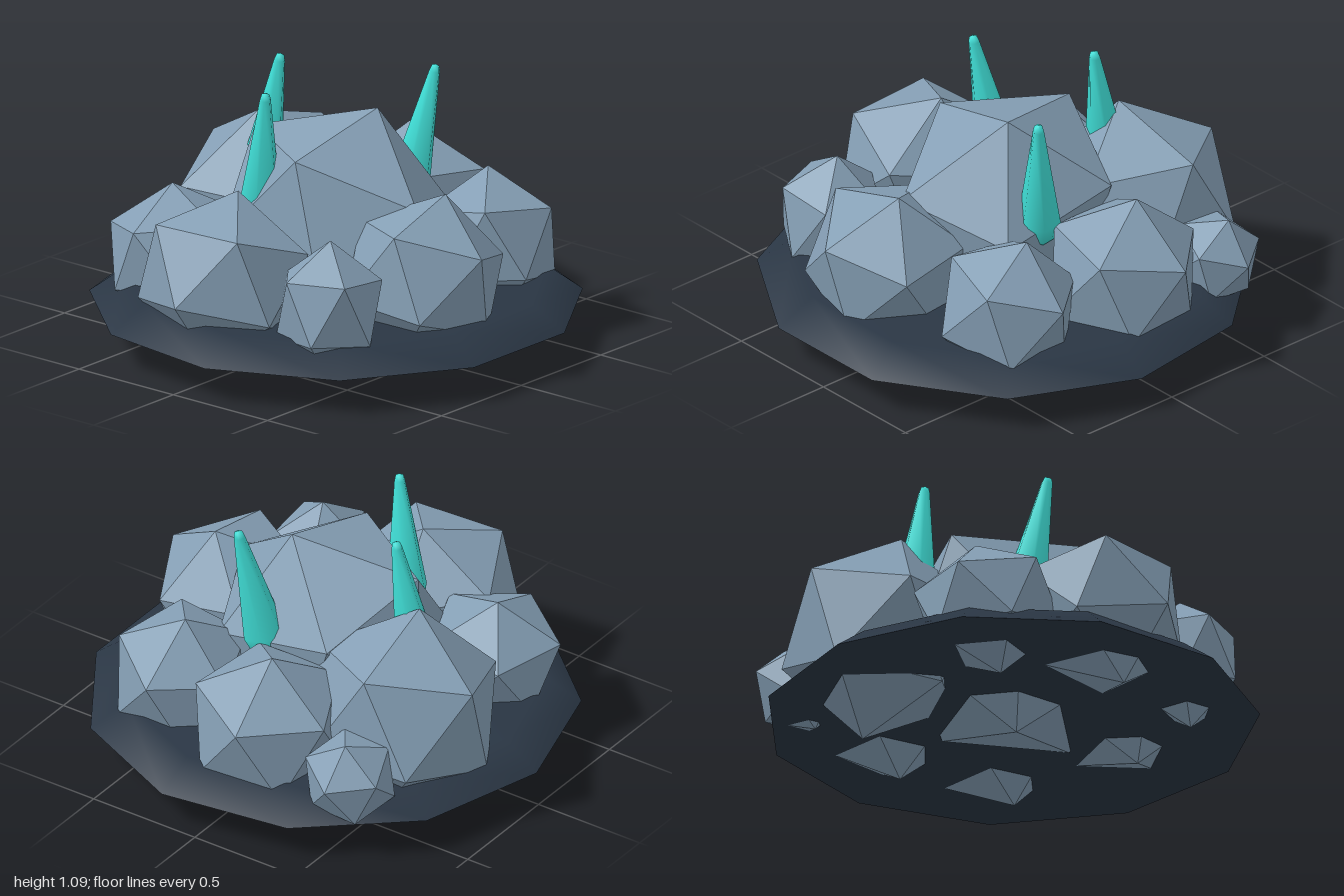
import * as THREE from 'three';

const V = (a) => new THREE.Vector3(...a);

// Orthonormal frame whose first axis is a and whose second lies toward b
function frame(a, b) {
  const x = a.clone().normalize();
  const y = b.clone().addScaledVector(x, -b.dot(x)).normalize();
  return new THREE.Matrix4().makeBasis(x, y, x.clone().cross(y));
}

// [name, centre, radius, direction of top corner, direction of a neighbouring corner, proportions]
const ROCKS = [
  ['centreRock', [0, 0.485, 0.015], 0.495, [0.15, 0.46, 0.1], [-0.045, 0.4, -0.4], [0.92, 1.03, 1.07]],
  ['frontRock', [-0.1, 0.395, 0.57], 0.35, [0.104, 0.33, 0.025], [-0.24, 0.235, 0.05], [1, 1, 1]],
  ['frontRightRock', [-0.56, 0.355, 0.455], 0.238, [0.02, 0.23, -0.01], [0.14, 0.1, 0.16], [1, 1.19, 1]],
  ['frontLeftRock', [0.48, 0.36, 0.425], 0.315, [0.05, 0.28, -0.05], [0.11, 0.1, 0.24], [1, 1, 0.95]],
  ['leftRock', [0.6, 0.38, -0.09], 0.345, [0.04, 0.34, -0.04], [0.31, 0.075, -0.05], [1, 1, 1]],
  ['backLeftRock', [0.66, 0.31, -0.53], 0.2, [0.06, 0.17, -0.02], [0.18, 0.02, -0.01], [1, 1, 1]],
  ['backRock', [0.23, 0.41, -0.495], 0.425, [-0.11, 0.41, 0], [0.04, 0.225, -0.375], [1, 1, 1]],
  ['backRightRock', [-0.375, 0.345, -0.5], 0.31, [0.02, 0.3, -0.05], [-0.09, 0.12, -0.27], [1.04, 0.9, 1]],
  ['rightRock', [-0.605, 0.39, -0.07], 0.36, [0.11, 0.33, -0.01], [-0.2, 0.24, 0.22], [0.95, 0.98, 1.08]],
];

// [base centre, tip]
const CRYSTALS = [
  [[0.32, 0.5, 0.11], [0.412, 1.092, 0.2]],
  [[-0.25, 0.5, -0.18], [-0.315, 1.092, -0.09]],
  [[0.085, 0.5, -0.47], [0.11, 1.092, -0.37]],
];

export function createModel() {
  const model = new THREE.Group();
  const stone = new THREE.MeshStandardMaterial({ color: 0x859fb5, flatShading: true });
  stone.name = 'slate stone';
  const ground = new THREE.MeshStandardMaterial({ color: 0x2a3644 });
  ground.name = 'dark ground';
  const teal = new THREE.MeshStandardMaterial({ color: 0x40e0d8 });
  teal.name = 'teal crystal';

  const add = (name, geometry, material) => {
    const mesh = new THREE.Mesh(geometry, material);
    mesh.name = name;
    model.add(mesh);
    return mesh;
  };
  const lathe = (profile, sides) =>
    new THREE.LatheGeometry(profile.map((p) => new THREE.Vector2(...p)), sides);

  // Eleven-sided base: a softly shaded mound over a flat underside
  const mound = add('base', lathe([[1.01, 0], [0.86, 0.11], [0, 0.11]], 11), ground);
  mound.rotation.y = Math.PI;
  mound.position.set(0, 0.147, 0.02);
  const underside = add('underside', new THREE.CircleGeometry(1.01, 11, -Math.PI / 2), ground);
  underside.rotation.x = Math.PI / 2;
  underside.position.copy(mound.position);

  // Boulders, each turned so two corners point in the given directions
  const t = (1 + Math.sqrt(5)) / 2;
  const rest = frame(V([-1, t, 0]), V([1, t, 0])).transpose();
  for (const [name, centre, radius, top, next, proportions] of ROCKS) {
    const geometry = new THREE.IcosahedronGeometry(radius, 0);
    geometry.applyMatrix4(frame(V(top), V(next)).multiply(rest));
    geometry.scale(...proportions);
    add(name, geometry, stone).position.set(...centre);
  }

  // Tapered crystals with rounded tips
  CRYSTALS.forEach(([from, to], i) => {
    const axis = V(to).sub(V(from));
    const h = axis.length();
    const profile = [[0, 0], [0.065, 0.01], [0.09, 0.1], [0.024, h - 0.03], [0.018, h - 0.008], [0, h]];
    const crystal = add('crystal' + (i + 1), lathe(profile, 6), teal);
    crystal.position.set(...from);
    crystal.quaternion.setFromUnitVectors(new THREE.Vector3(0, 1, 0), axis.normalize());
  });

  return model;
}
